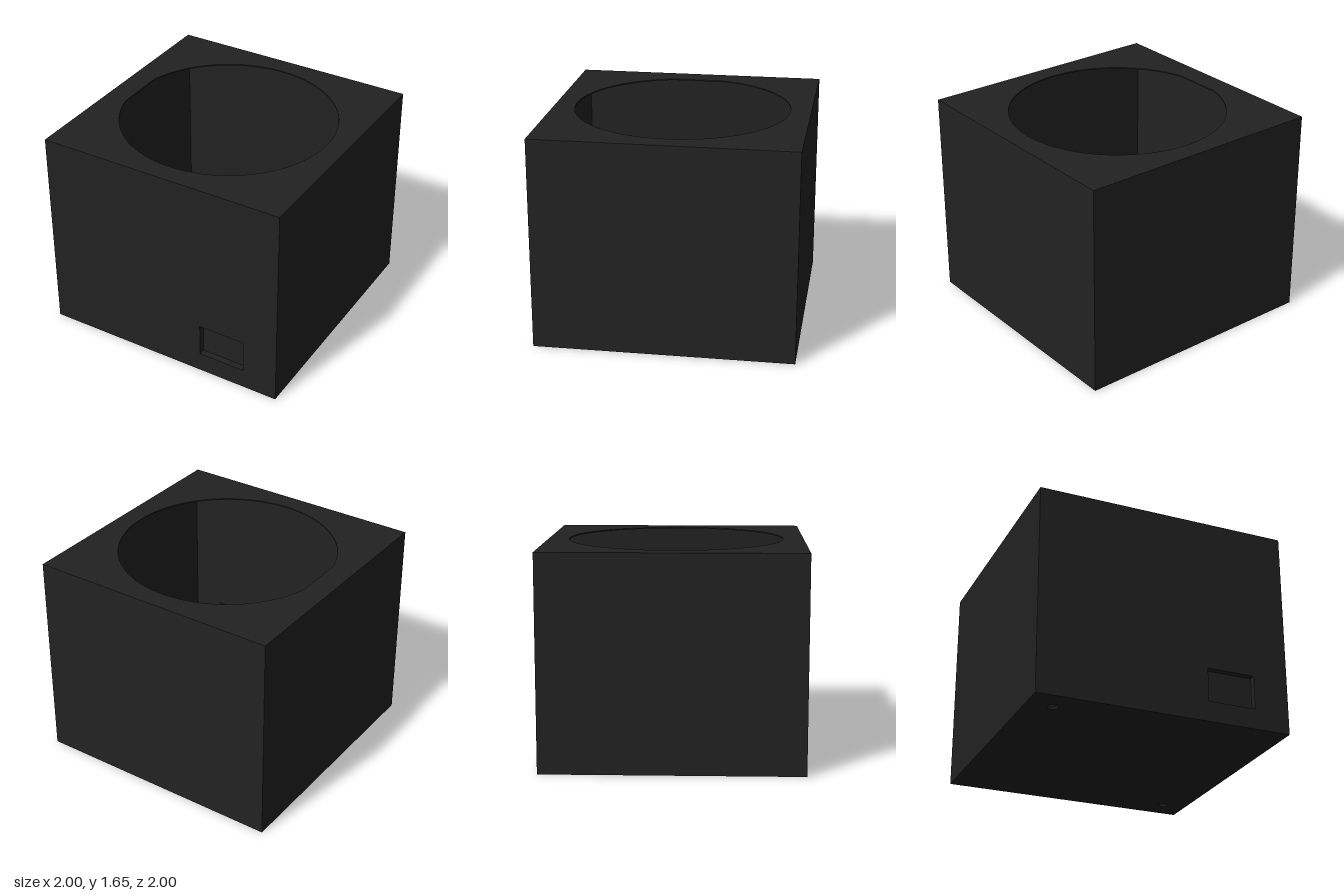
import * as THREE from 'three';

const H = 1.655, WALL = 0.02, LID = 0.01, FRONT = 0.05;
const material = new THREE.MeshStandardMaterial({ color: 0x222222 });

function add(group, name, geometry, x = 0, y = 0, z = 0) {
  const mesh = new THREE.Mesh(geometry, material);
  mesh.name = name;
  mesh.position.set(x, y, z);
  group.add(mesh);
}

function rectangle(x0, y0, x1, y1, Type = THREE.Shape) {
  return new Type([[x0, y0], [x1, y0], [x1, y1], [x0, y1]].map(p => new THREE.Vector2(...p)));
}

function plate(shape, depth) {
  return new THREE.ExtrudeGeometry(shape, { depth, bevelEnabled: false, curveSegments: 64 });
}

export function createModel() {
  const group = new THREE.Group();
  group.name = 'enclosure';
  const bodyH = H - WALL - LID;
  const midY = WALL + bodyH / 2;

  // Floor with two screw holes on one diagonal
  const floor = rectangle(-1, -1, 1, 1);
  for (const s of [-1, 1]) {
    floor.holes.push(new THREE.Path().absarc(0.8 * s, 0.8 * s, 0.04, 0, Math.PI * 2));
  }
  add(group, 'floor', plate(floor, WALL).rotateX(-Math.PI / 2));

  // Thin top with a round opening, cut flat on one side
  const top = rectangle(-1, -1, 1, 1);
  const a = Math.PI - Math.acos(0.815 / 0.84);
  const opening = new THREE.Path().absarc(0, 0, 0.84, -a, a);
  opening.closePath();
  top.holes.push(opening);
  add(group, 'top', plate(top, LID).rotateX(-Math.PI / 2), 0, H - LID, 0);

  // Front wall with a rectangular recess
  const front = rectangle(-1, WALL, 1, H - LID);
  front.holes.push(rectangle(0.34, 0.16, 0.72, 0.425, THREE.Path));
  add(group, 'frontWall', plate(front, FRONT), 0, 0, 1 - FRONT);
  add(group, 'recessPanel', new THREE.BoxGeometry(0.42, 0.305, 0.01), 0.53, 0.2925, 0.945);

  // Back and side walls
  add(group, 'backWall', new THREE.BoxGeometry(2, bodyH, WALL), 0, midY, -1 + WALL / 2);
  const sideLength = 2 - FRONT - WALL;
  for (const s of [-1, 1]) {
    add(group, s > 0 ? 'leftWall' : 'rightWall', new THREE.BoxGeometry(WALL, bodyH, sideLength),
      s * (1 - WALL / 2), midY, (WALL - FRONT) / 2);
  }
  return group;
}
